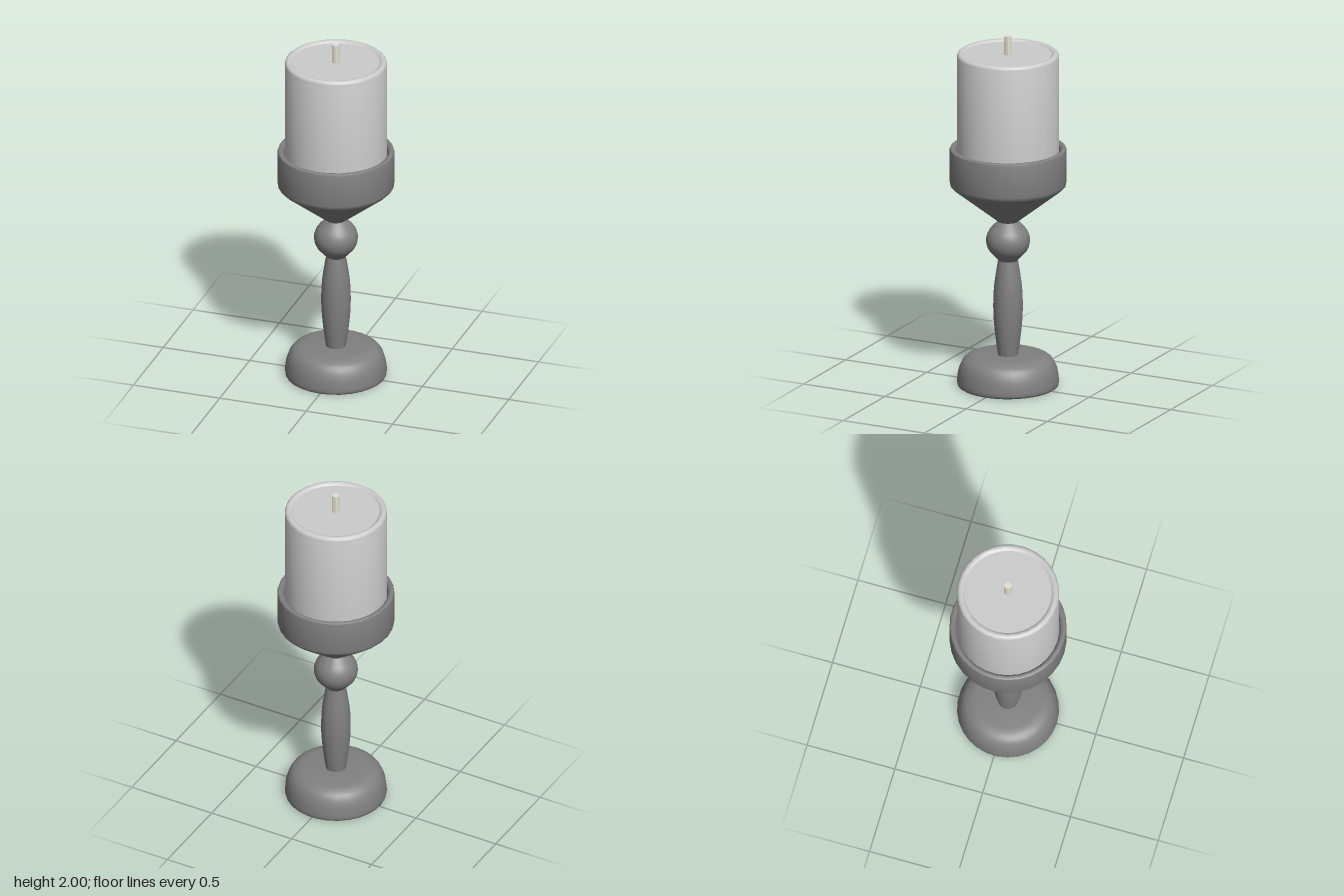
import * as THREE from 'three';
import { toCreasedNormals } from 'three/addons/utils/BufferGeometryUtils.js';

const SIDES = 29;

// Turned part: [radius, height] pairs from bottom to top, smooth with kept edges
function turned(name, profile, color, sides = SIDES) {
  const points = profile.map(([r, y]) => new THREE.Vector2(r, y));
  const geometry = toCreasedNormals(new THREE.LatheGeometry(points, sides), 0.75);
  const mesh = new THREE.Mesh(geometry, new THREE.MeshStandardMaterial({ color }));
  mesh.name = name;
  return mesh;
}

// Samples a smooth curve through a few profile points
function smooth(profile, count) {
  const curve = new THREE.SplineCurve(profile.map(([r, y]) => new THREE.Vector2(r, y)));
  return curve.getPoints(count).map((p) => [p.x, p.y]);
}

export function createModel() {
  const model = new THREE.Group();
  model.name = 'candleOnHolder';
  const holderColor = 0x808080;

  // Domed foot
  model.add(turned('base', [
    [0, 0], [0.268, 0], [0.276, 0.005], [0.279, 0.015],
    ...smooth([[0.279, 0.03], [0.273, 0.08], [0.258, 0.125], [0.235, 0.155], [0.2, 0.172]], 10),
    [0.17, 0.176], [0, 0.176],
  ], holderColor));

  // Swelling stem
  model.add(turned('stem', smooth([
    [0.055, 0.17], [0.072, 0.3], [0.081, 0.43], [0.077, 0.56], [0.062, 0.67], [0.052, 0.73],
  ], 16), holderColor));

  // Round bead under the cup
  model.add(turned('bead', smooth([
    [0.052, 0.715], [0.075, 0.74], [0.108, 0.78], [0.121, 0.83],
    [0.108, 0.88], [0.075, 0.92], [0.05, 0.945],
  ], 16), holderColor));

  // Cone-bottomed cup with a rounded rim and a hollow for the candle
  model.add(turned('cup', [
    [0.05, 0.935], [0.062, 0.945], [0.1, 0.975], [0.305, 1.138],
    [0.317, 1.15], [0.321, 1.165], [0.321, 1.345], [0.318, 1.356], [0.308, 1.362],
    [0.298, 1.361], [0.288, 1.353], [0.284, 1.34], [0.284, 1.3], [0, 1.3],
  ], holderColor));

  // Candle with a rounded edge and slightly sunken top
  model.add(turned('candle', [
    [0, 1.301], [0.28, 1.301], [0.28, 1.885], [0.277, 1.895], [0.269, 1.902],
    [0.258, 1.904], [0.248, 1.901], [0.24, 1.893], [0, 1.893],
  ], 0xcccccc));

  // Wick
  model.add(turned('wick', [[0, 1.88], [0.02, 1.88], [0.02, 2], [0, 2]], 0xe6dfd3, 20));

  return model;
}
